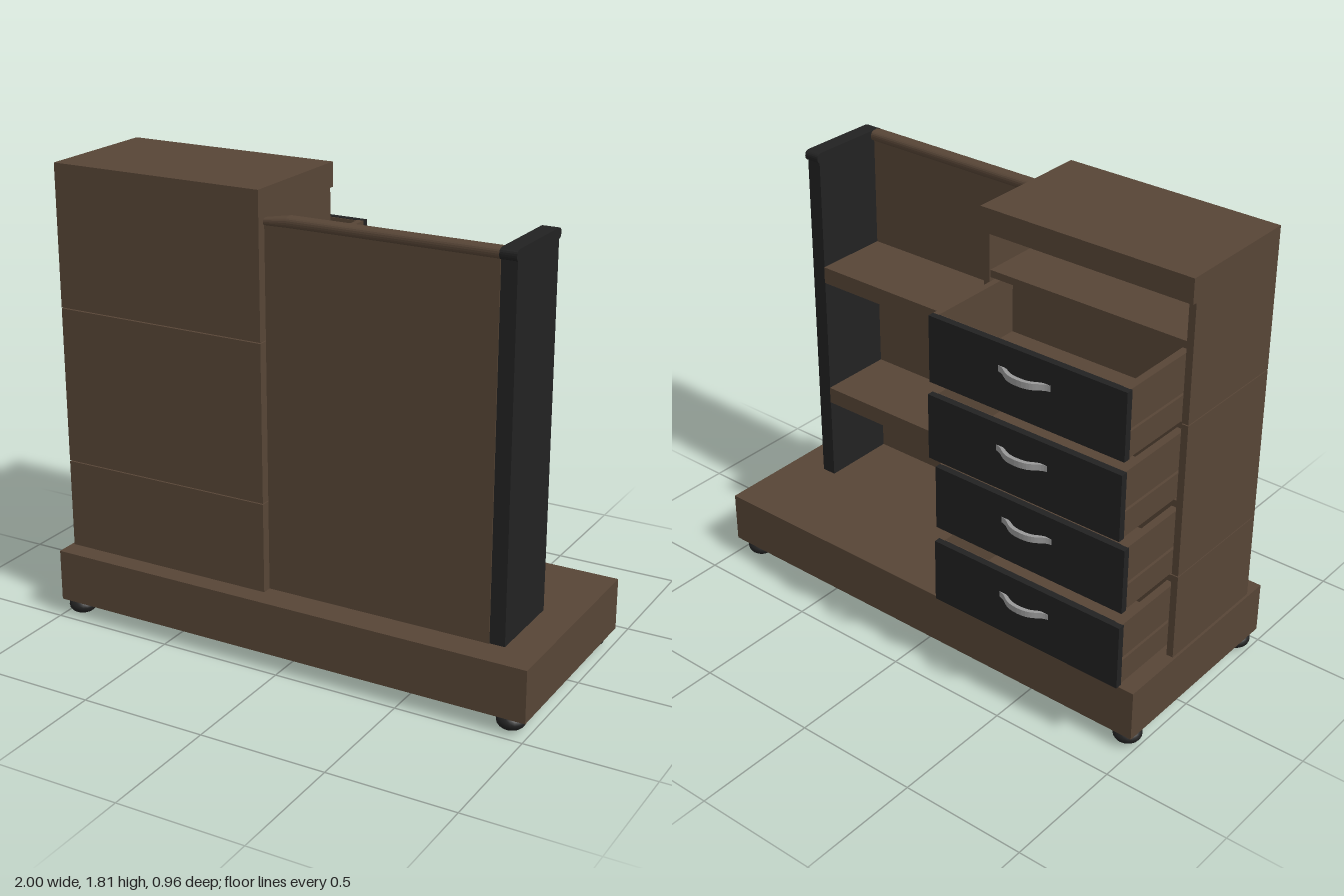
import * as THREE from 'three';

const wood = new THREE.MeshStandardMaterial({ color: 0x574536 });
wood.name = 'brownWood';
const black = new THREE.MeshStandardMaterial({ color: 0x222222 });
black.name = 'blackTrim';
const metal = new THREE.MeshStandardMaterial({ color: 0x999999 });
metal.name = 'greyMetal';

function add(parent, name, geometry, material) {
  const mesh = new THREE.Mesh(geometry, material);
  mesh.name = name;
  parent.add(mesh);
  return mesh;
}

// Box given by its minimum and maximum on each axis
function box(parent, name, material, x0, x1, y0, y1, z0, z1) {
  const mesh = add(parent, name, new THREE.BoxGeometry(x1 - x0, y1 - y0, z1 - z0), material);
  mesh.position.set((x0 + x1) / 2, (y0 + y1) / 2, (z0 + z1) / 2);
  return mesh;
}

// Rounded cap profile, w wide and h high, extruded along +x
function capGeometry(w, h, length, steps) {
  const a = w / 2, b = h / 2;
  const s = new THREE.Shape();
  s.moveTo(-a + 0.015, 0);
  s.lineTo(a - 0.015, 0);
  s.quadraticCurveTo(a, 0, a, b);
  s.quadraticCurveTo(a, h, a - 0.025, h);
  s.lineTo(-a + 0.025, h);
  s.quadraticCurveTo(-a, h, -a, b);
  s.quadraticCurveTo(-a, 0, -a + 0.015, 0);
  const g = new THREE.ExtrudeGeometry(s, { depth: length, steps, bevelEnabled: false, curveSegments: 5 });
  return g.rotateY(Math.PI / 2);
}

// Arched strap pull, bulging towards -z
function handleGeometry() {
  const s = new THREE.Shape();
  s.moveTo(-0.11, 0);
  s.bezierCurveTo(-0.07, 0.005, -0.07, 0.04, 0, 0.04);
  s.bezierCurveTo(0.07, 0.04, 0.07, 0.005, 0.11, 0);
  s.lineTo(0.08, 0);
  s.bezierCurveTo(0.05, 0.01, 0.05, 0.024, 0, 0.024);
  s.bezierCurveTo(-0.05, 0.024, -0.05, 0.01, -0.08, 0);
  const g = new THREE.ExtrudeGeometry(s, { depth: 0.024, bevelEnabled: false, curveSegments: 10 });
  return g.translate(0, 0, -0.012).rotateX(-Math.PI / 2);
}

function drawer(y, front) {
  const g = new THREE.Group();
  g.name = 'drawer';
  const h = 0.26, back = 0.45;
  // Side walls with a recessed runner groove
  for (const [out, inn] of [[-0.96, -0.93], [-0.135, -0.16]]) {
    const d = Math.sign(inn - out);
    const wall = (name, o, y0, y1) =>
      box(g, name, wood, Math.min(o, inn), Math.max(o, inn), y0, y1, 0.025, back);
    wall('drawerSideLower', out, 0, 0.1);
    wall('drawerSideGroove', out + d * 0.01, 0.1, 0.137);
    wall('drawerSideUpper', out, 0.137, h);
  }
  box(g, 'drawerBottom', wood, -0.93, -0.16, 0.01, 0.03, 0.025, back);
  box(g, 'drawerBack', wood, -0.93, -0.16, 0.03, h, back - 0.02, back);
  box(g, 'drawerInnerFront', wood, -0.93, -0.16, 0.03, h - 0.002, 0.025, 0.032);
  box(g, 'drawerFront', black, -0.965, -0.135, 0, h, 0, 0.027);
  add(g, 'drawerHandle', handleGeometry(), metal).position.set(-0.55, 0.163, 0);
  g.position.set(0, y, front);
  return g;
}

export function createModel() {
  const model = new THREE.Group();
  model.name = 'displayCounter';

  // Plinth and flattened ball feet
  box(model, 'base', wood, -1, 1, 0.065, 0.272, -0.36, 0.48);
  for (const x of [-0.945, 0.922]) {
    for (const z of [-0.3, 0.42]) {
      const foot = add(model, 'foot', new THREE.SphereGeometry(0.055, 20, 12), black);
      foot.scale.y = 0.64;
      foot.position.set(x, 0.035, z);
    }
  }

  // Drawer cabinet: three stacked carcass sections with fine seams
  const cabinet = new THREE.Group();
  cabinet.name = 'cabinet';
  for (const [y0, y1] of [[0.272, 0.626], [0.63, 1.246], [1.25, 1.712]]) {
    box(cabinet, 'cabinetRightWall', wood, -0.99, -0.963, y0, y1, -0.1, 0.4);
    box(cabinet, 'cabinetLeftWall', wood, -0.132, -0.107, y0, y1, -0.1, 0.4);
    box(cabinet, 'cabinetPanel', wood, -0.963, -0.132, y0, y1, 0.37, 0.4);
  }
  box(cabinet, 'cabinetTop', wood, -0.99, -0.107, 1.71, 1.805, -0.12, 0.4);
  for (const y of [0.592, 0.907, 1.224, 1.53]) {
    box(cabinet, 'cabinetDivider', wood, -0.963, -0.132, y, y + 0.028, -0.095, 0.37);
  }
  model.add(cabinet);

  // Pulled-out drawers
  for (const [y, z] of [[0.315, -0.415], [0.633, -0.406], [0.949, -0.441], [1.255, -0.432]]) {
    model.add(drawer(y, z));
  }

  // Shelf bay beside the cabinet
  const bay = new THREE.Group();
  bay.name = 'shelfBay';
  box(bay, 'bayPanel', wood, -0.107, 0.8, 0.272, 1.685, 0.33, 0.362);
  for (const y of [0.62, 1.165]) {
    box(bay, 'shelf', wood, -0.107, 0.8, y, y + 0.068, 0.02, 0.33);
  }
  // Panel rail, tapering where it meets the cabinet
  const rail = capGeometry(0.06, 0.04, 0.907, 10);
  const p = rail.attributes.position;
  for (let i = 0; i < p.count; i++) {
    const t = Math.max(0, 1 - p.getX(i) / 0.091);
    p.setY(i, p.getY(i) * (1 - 0.35 * t));
    p.setZ(i, 0.03 + (p.getZ(i) - 0.03) * (1 - 0.35 * t));
  }
  rail.computeVertexNormals();
  add(bay, 'panelRail', rail, wood).position.set(-0.107, 1.672, 0.34);

  // Black end post with rounded cap
  box(bay, 'endPost', black, 0.8, 0.86, 0.272, 1.68, 0.022, 0.358);
  add(bay, 'endPostCap', capGeometry(0.362, 0.04, 0.064, 1), black).position.set(0.798, 1.672, 0.19);
  model.add(bay);

  return model;
}
